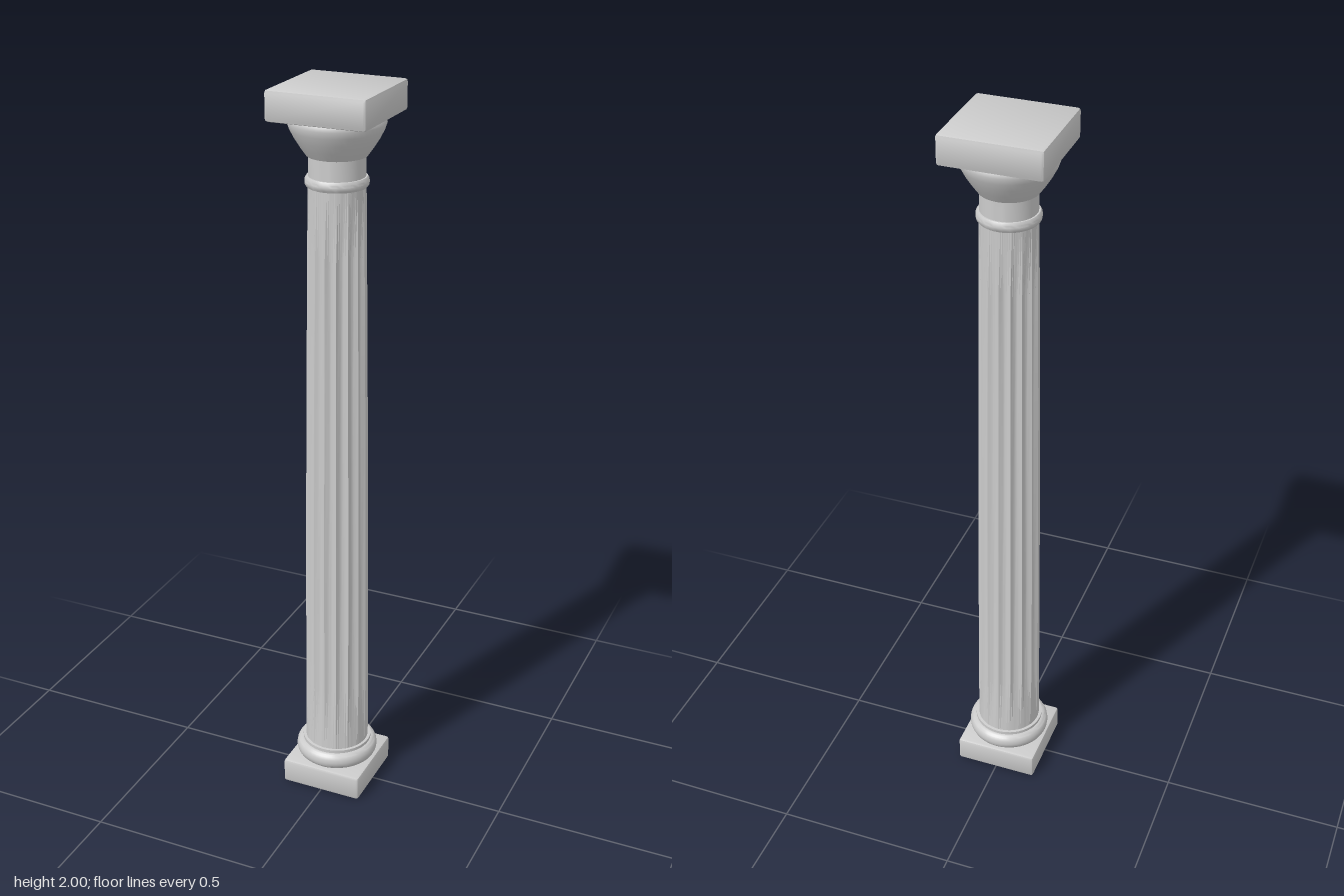
import * as THREE from 'three';
import { toCreasedNormals } from 'three/addons/utils/BufferGeometryUtils.js';
import { RoundedBoxGeometry } from 'three/addons/geometries/RoundedBoxGeometry.js';

const material = new THREE.MeshStandardMaterial({ color: 0xcccccc });

function add(group, name, geometry, y = 0, crease = 0.6) {
  const mesh = new THREE.Mesh(toCreasedNormals(geometry, crease), material);
  mesh.name = name;
  mesh.position.y = y;
  group.add(mesh);
}

// Square slab with small chamfers, standing on y
function slab(group, name, half, y, height) {
  add(group, name, new RoundedBoxGeometry(half * 2, height, half * 2, 1, 0.008), y + height / 2);
}

// Turned moulding from [radius, y] points, bottom to top
function turned(group, name, points) {
  add(group, name, new THREE.LatheGeometry(points.map(([r, y]) => new THREE.Vector2(r, y)), 48));
}

// Tapered shaft whose flutes fade into a round section at both ends
function shaftGeometry() {
  const flutes = 16, steps = 6, bottom = 0.12, top = 1.76;
  const levels = [bottom, 0.32, 0.64, 0.95, 1.26, 1.57, top];
  const geometry = new THREE.CylinderGeometry(1, 1, 1, flutes * steps, levels.length - 1, true);
  const pos = geometry.attributes.position;
  for (let i = 0; i < pos.count; i++) {
    const row = Math.round((pos.getY(i) + 0.5) * (levels.length - 1));
    const y = levels[row];
    const angle = Math.atan2(pos.getX(i), pos.getZ(i));
    const t = (y - bottom) / (top - bottom);
    const swell = 0.002 * Math.sin(Math.PI * t);
    const depth = row === 0 || row === levels.length - 1 ? 0 : 0.009;
    const r = THREE.MathUtils.lerp(0.089, 0.073, t) + swell
      - depth * Math.abs(Math.sin(angle * flutes / 2));
    pos.setXYZ(i, r * Math.sin(angle), y, r * Math.cos(angle));
  }
  return geometry;
}

export function createModel() {
  const column = new THREE.Group();
  column.name = 'column';

  slab(column, 'plinth', 0.117, 0, 0.072);

  // Rounded base roll with a small fillet above it
  const roll = [[0, 0.07], [0.1, 0.07]];
  for (let i = 0; i <= 8; i++) {
    const a = -Math.PI / 2 + Math.PI * i / 8;
    roll.push([0.097 + 0.018 * Math.cos(a), 0.097 + 0.024 * Math.sin(a)]);
  }
  turned(column, 'baseRoll', [...roll, [0.097, 0.13], [0.085, 0.13]]);

  add(column, 'flutedShaft', shaftGeometry(), 0, 0.5);

  // Ring around the top of the shaft
  turned(column, 'neckRing', [
    [0.07, 1.75], [0.076, 1.75], [0.08, 1.755], [0.081, 1.763],
    [0.08, 1.77], [0.076, 1.776], [0.07, 1.776],
  ]);

  // Neck and flared cushion of the capital
  turned(column, 'neck', [[0.072, 1.755], [0.072, 1.828]]);
  turned(column, 'capitalCushion', [
    [0.07, 1.826], [0.077, 1.828], [0.092, 1.849], [0.106, 1.871],
    [0.117, 1.892], [0.123, 1.909], [0.122, 1.918], [0.117, 1.926], [0, 1.926],
  ]);

  slab(column, 'abacus', 0.133, 1.922, 0.078);
  return column;
}
